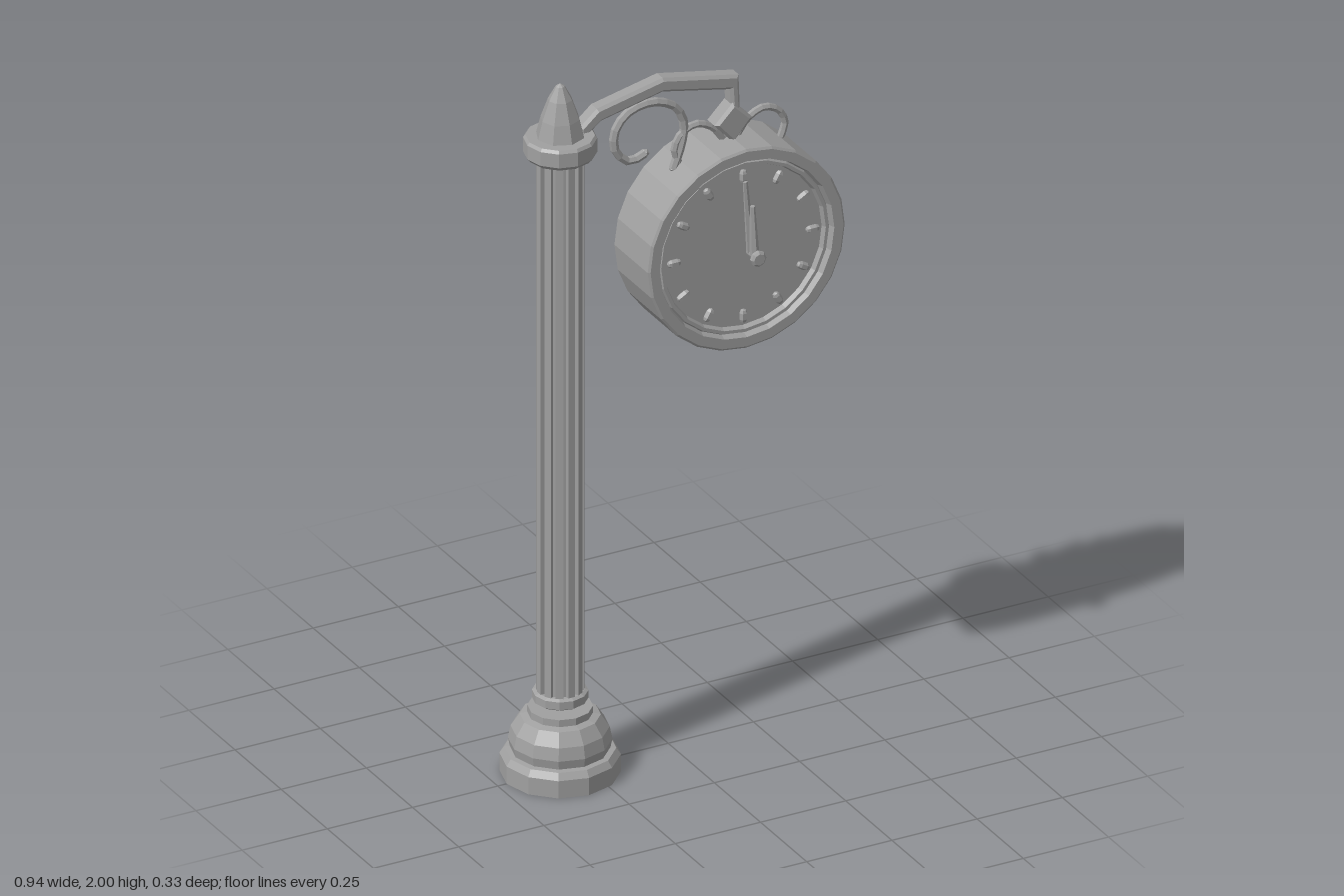
import * as THREE from 'three';

const metal = new THREE.MeshStandardMaterial({ color: 0xa0a0a0, flatShading: true });
metal.name = 'grey metal';

const POLE_X = -0.317;
const CLOCK_X = 0.18, CLOCK_Y = 1.437;

const v2 = (pts) => pts.map(([x, y]) => new THREE.Vector2(x, y));

function add(parent, name, geometry, x = 0, y = 0, z = 0) {
  const mesh = new THREE.Mesh(geometry, metal);
  mesh.name = name;
  mesh.position.set(x, y, z);
  parent.add(mesh);
  return mesh;
}

const lathe = (pts, sides) => new THREE.LatheGeometry(v2(pts), sides);

// Round bar bent through points, closed at both ends
function scroll(parent, name, pts, radius, steps) {
  const path = new THREE.CatmullRomCurve3(pts.map(([x, y]) => new THREE.Vector3(x, y, 0)));
  add(parent, name, new THREE.TubeGeometry(path, steps, radius, 6));
  for (const [x, y] of [pts[0], pts[pts.length - 1]]) {
    add(parent, name + 'End', new THREE.IcosahedronGeometry(radius, 0), x, y);
  }
}

// Outline extruded evenly about z = 0
function plate(points, depth, bevel) {
  const g = new THREE.ExtrudeGeometry(new THREE.Shape(v2(points)), {
    depth: depth - 2 * bevel, bevelEnabled: bevel > 0,
    bevelThickness: bevel, bevelSize: bevel, bevelOffset: -bevel, bevelSegments: 1,
  });
  return g.translate(0, 0, -depth / 2 + bevel);
}

function buildPost() {
  const post = new THREE.Group();
  post.name = 'post';
  post.position.x = POLE_X;

  // Stepped base
  add(post, 'base', lathe([
    [0, 0], [0.157, 0], [0.157, 0.05], [0.145, 0.068], [0.13, 0.07], [0.135, 0.095],
    [0.128, 0.13], [0.105, 0.165], [0.085, 0.17], [0.085, 0.19], [0, 0.19],
  ], 12));
  add(post, 'collar', lathe([
    [0, 0.208], [0.066, 0.208], [0.073, 0.213], [0.073, 0.235], [0.064, 0.24], [0, 0.24],
  ], 12));

  // Fluted shaft
  const outline = [];
  const flutes = 12;
  for (let i = 0; i < flutes; i++) {
    for (const [t, r] of [[-0.3, 0.063], [0.3, 0.063], [0.38, 0.053], [0.62, 0.053]]) {
      const a = ((i + t) / flutes) * Math.PI * 2;
      outline.push([Math.cos(a) * r, Math.sin(a) * r]);
    }
  }
  const shaft = new THREE.ExtrudeGeometry(new THREE.Shape(v2(outline)), { depth: 1.57, bevelEnabled: false });
  add(post, 'shaft', shaft.rotateX(-Math.PI / 2), 0, 0.235, 0);

  // Capital and pointed finial
  add(post, 'capital', lathe([
    [0, 1.79], [0.085, 1.79], [0.096, 1.802], [0.096, 1.842], [0.09, 1.85], [0, 1.85],
  ], 12));
  add(post, 'finial', lathe([
    [0, 1.845], [0.066, 1.845], [0.052, 1.9], [0.032, 1.955], [0.012, 1.992], [0, 2],
  ], 8));
  return post;
}

function buildBracket() {
  const bracket = new THREE.Group();
  bracket.name = 'bracket';
  add(bracket, 'arm', plate([
    [-0.268, 1.825], [-0.25, 1.835], [-0.205, 1.87], [-0.025, 1.91], [0.172, 1.868], [0.177, 1.8],
    [0.202, 1.8], [0.198, 1.905], [-0.025, 1.95], [-0.218, 1.908], [-0.268, 1.865],
  ], 0.046, 0.008));

  // Diamond hanger between arm and clock
  add(bracket, 'diamond', plate([[0, -0.062], [0.055, 0], [0, 0.055], [-0.055, 0]], 0.054, 0.008), CLOCK_X, 1.775);

  scroll(bracket, 'largeScroll', [
    [-0.068, 1.735], [-0.113, 1.722], [-0.155, 1.762], [-0.156, 1.82], [-0.118, 1.865],
    [-0.045, 1.878], [0.02, 1.848], [0.046, 1.794], [0.038, 1.735], [0.015, 1.67],
  ], 0.012, 20);
  for (const s of [1, -1]) {
    scroll(bracket, s > 0 ? 'leftScroll' : 'rightScroll', [
      [0.02, 1.72], [0.052, 1.762], [0.1, 1.783], [0.144, 1.763], [0.162, 1.725], [0.15, 1.685],
    ].map(([x, y]) => [CLOCK_X + s * x, y]), 0.01, 12);
  }
  return bracket;
}

// Hour marks, hands and centre pin for one side
function buildDial(name) {
  const dial = new THREE.Group();
  dial.name = name;
  for (let i = 0; i < 12; i++) {
    const a = (i / 12) * Math.PI * 2;
    const mark = add(dial, 'hourMark', new THREE.CapsuleGeometry(0.011, 0.018, 2, 6),
      Math.sin(a) * 0.203, Math.cos(a) * 0.203, 0.074);
    mark.rotation.z = -a;
  }
  const hand = (label, length, z, tilt, thick) => {
    const g = new THREE.CylinderGeometry(0.007, 0.013, length, 6).translate(0, length / 2, 0);
    g.scale(1, 1, thick);
    add(dial, label, g, 0, 0, z).rotation.z = tilt;
  };
  hand('minuteHand', 0.21, 0.116, 0.08, 0.7);
  hand('hourHand', 0.145, 0.135, 0.04, 1);
  const pin = [[0, 0.108], [0.011, 0.108], [0.011, 0.148], [0.022, 0.151], [0.022, 0.159], [0.016, 0.164], [0, 0.164]];
  add(dial, 'centrePin', lathe(pin, 8).rotateX(Math.PI / 2));
  return dial;
}

function buildClock() {
  const clock = new THREE.Group();
  clock.name = 'clock';
  clock.position.set(CLOCK_X, CLOCK_Y, 0);

  // Drum with stepped bezels around both recessed faces
  const half = [[0, 0.07], [0.232, 0.07], [0.237, 0.084], [0.246, 0.084], [0.25, 0.076],
    [0.256, 0.095], [0.283, 0.095], [0.289, 0.09]];
  const profile = [...half.map(([r, z]) => [r, -z]), ...half.slice().reverse()];
  add(clock, 'drum', lathe(profile, 24).rotateX(Math.PI / 2));

  const back = buildDial('backDial');
  back.rotation.y = Math.PI;
  clock.add(buildDial('frontDial'), back);
  return clock;
}

export function createModel() {
  const model = new THREE.Group();
  model.name = 'streetClock';
  model.add(buildPost(), buildBracket(), buildClock());
  return model;
}
